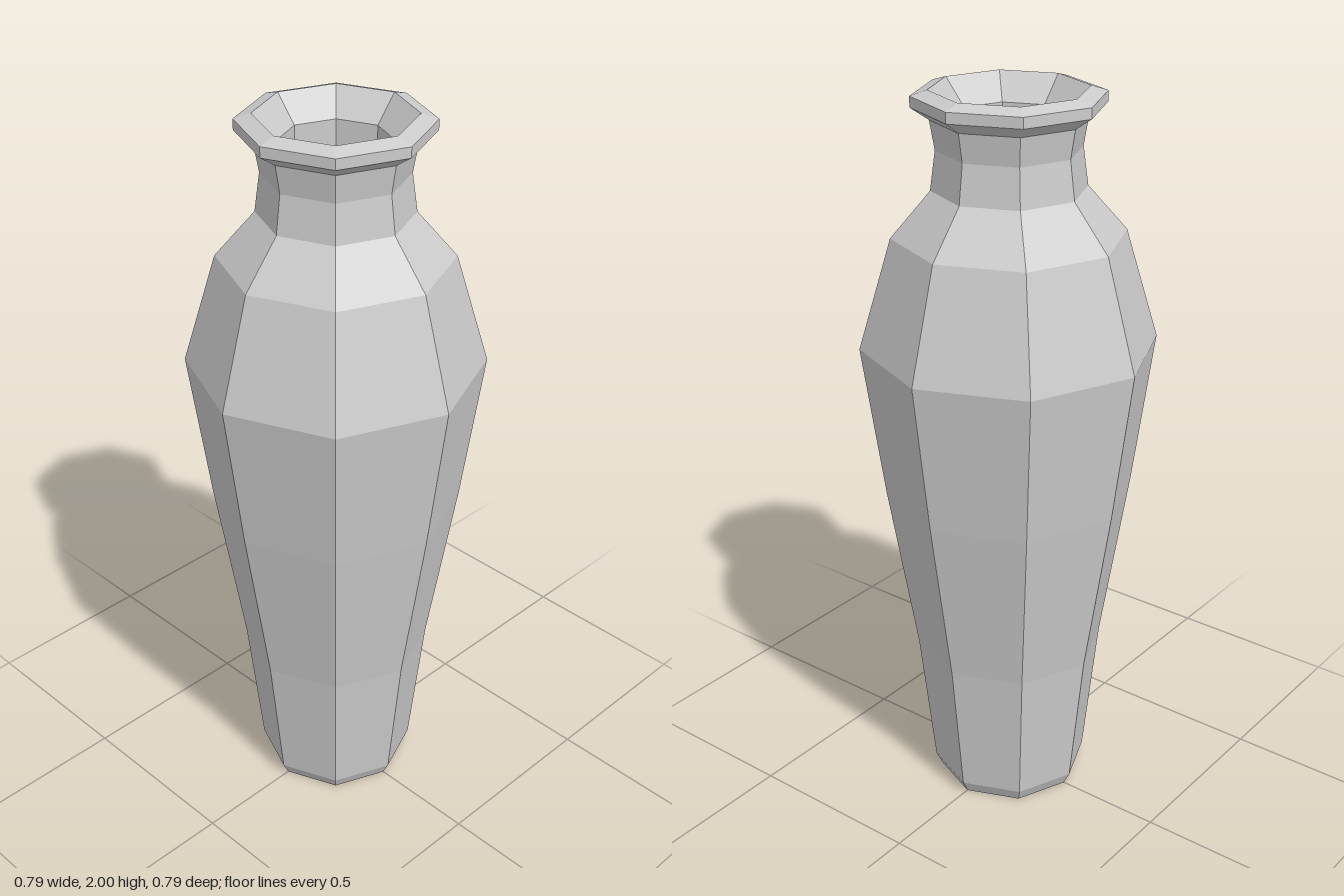
import * as THREE from 'three';

const SIDES = 8;

const clay = new THREE.MeshStandardMaterial({ color: 0xcccccc, flatShading: true });
clay.name = 'plain grey';

// Eight-sided turned part from [radius, height] pairs
function turned(name, profile) {
  const points = profile.map(([r, y]) => new THREE.Vector2(r, y));
  const mesh = new THREE.Mesh(new THREE.LatheGeometry(points, SIDES), clay);
  mesh.name = name;
  return mesh;
}

export function createModel() {
  const vase = new THREE.Group();
  vase.name = 'vase';

  // Closed foot with a small chamfer
  vase.add(turned('foot', [[0, 0], [0.2, 0], [0.218, 0.037]]));

  // Tapered body and sloping shoulder
  vase.add(turned('body', [
    [0.218, 0.037], [0.26, 0.43], [0.337, 0.91],
    [0.394, 1.33], [0.305, 1.627], [0.201, 1.747],
  ]));

  // Pinched neck
  vase.add(turned('neck', [[0.201, 1.747], [0.187, 1.85], [0.2, 1.926]]));

  // Flared lip with a funnel-shaped mouth
  vase.add(turned('lip', [
    [0.2, 1.926], [0.247, 1.958], [0.247, 1.986], [0.203, 2], [0.145, 1.93],
  ]));

  // Hollow inside, following the outer wall down to a flat floor
  vase.add(turned('interior', [
    [0.145, 1.93], [0.145, 1.85], [0.155, 1.747], [0.258, 1.61], [0.345, 1.33],
    [0.288, 0.91], [0.212, 0.43], [0.17, 0.06], [0, 0.06],
  ]));

  return vase;
}
